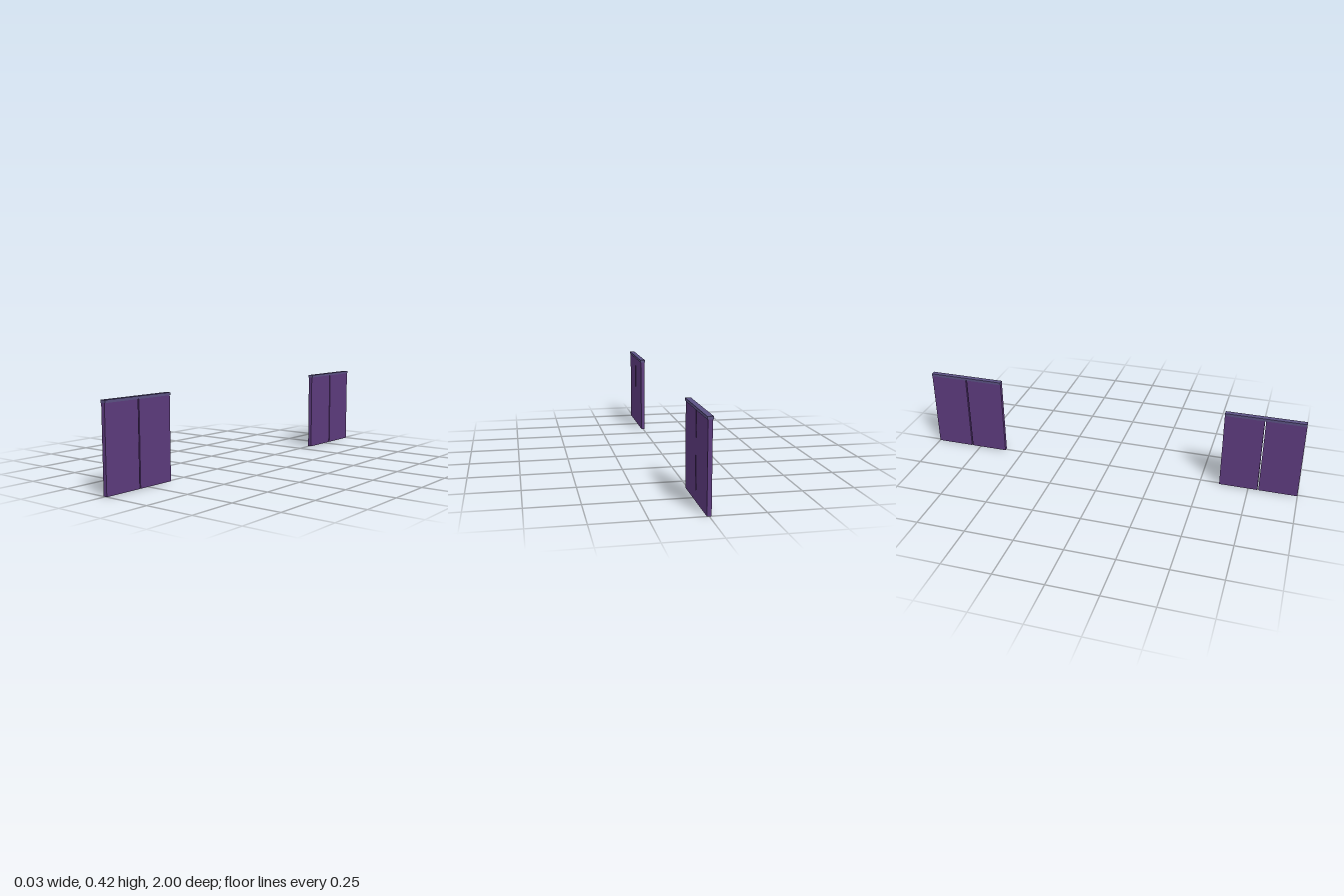
import * as THREE from 'three';

export function createModel() {
  const model = new THREE.Group();
  const purple = new THREE.MeshStandardMaterial({ color: 0x5c3a7c });
  purple.name = 'purple panel';
  const slate = new THREE.MeshStandardMaterial({ color: 0x5a5082 });
  slate.name = 'slate violet trim';

  const box = (name, material, width, height, depth, y, z, parent) => {
    const mesh = new THREE.Mesh(new THREE.BoxGeometry(width, height, depth), material);
    mesh.name = name;
    mesh.position.set(0, y, z);
    parent.add(mesh);
  };

  const length = 0.4, gap = 0.006, panelHeight = 0.407, capHeight = 0.013;
  const panelLength = (length - gap) / 2;

  // Two matching screens, one at each end
  for (const side of [1, -1]) {
    const screen = new THREE.Group();
    screen.name = side > 0 ? 'frontScreen' : 'backScreen';
    screen.position.z = side * 0.8;

    // Pair of upright panels with a narrow open gap between them
    for (const end of [1, -1]) {
      box(end > 0 ? 'frontPanel' : 'backPanel', purple, 0.02, panelHeight, panelLength,
        panelHeight / 2, end * (gap + panelLength) / 2, screen);
    }

    // Overhanging top rail
    box('topRail', slate, 0.027, capHeight, length, panelHeight + capHeight / 2, 0, screen);
    model.add(screen);
  }
  return model;
}
